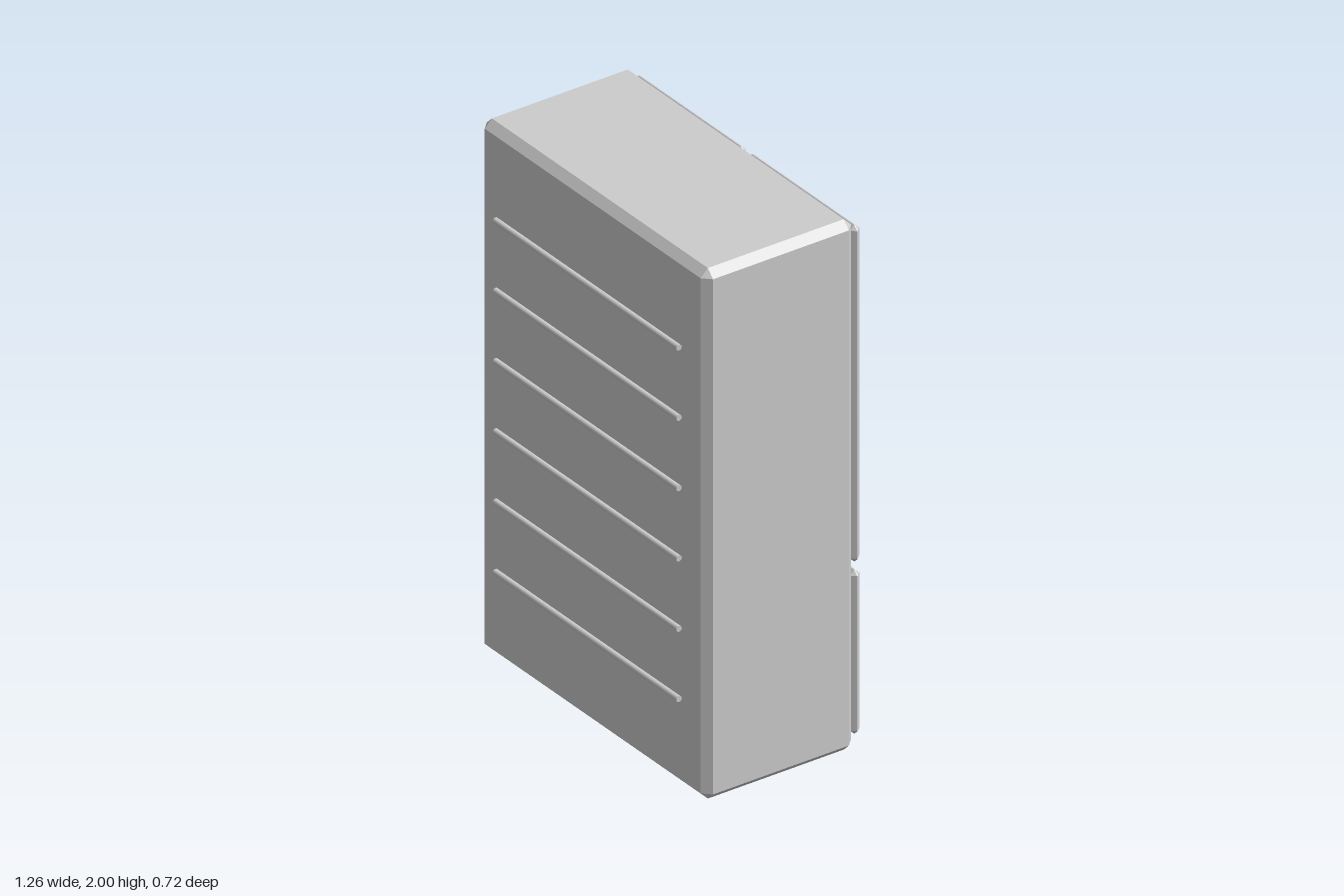
import * as THREE from 'three';
import { ConvexGeometry } from 'three/addons/geometries/ConvexGeometry.js';

const steel = new THREE.MeshStandardMaterial({ color: 0xcccccc });
steel.name = 'steel grey';

// Box with flat chamfers on every edge and corner, given by its limits
function chamferBox(name, [x0, x1], [y0, y1], [z0, z1], c) {
  const half = [(x1 - x0) / 2, (y1 - y0) / 2, (z1 - z0) / 2];
  const points = [];
  for (const sx of [-1, 1]) for (const sy of [-1, 1]) for (const sz of [-1, 1]) {
    for (let axis = 0; axis < 3; axis++) {
      const p = [sx, sy, sz].map((s, i) => s * (half[i] - (i === axis ? 0 : c)));
      points.push(new THREE.Vector3(...p));
    }
  }
  const mesh = new THREE.Mesh(new ConvexGeometry(points), steel);
  mesh.position.set((x0 + x1) / 2, (y0 + y1) / 2, (z0 + z1) / 2);
  mesh.name = name;
  return mesh;
}

// Round bar, upright or lying along x
function bar(name, radius, length, x, y, z, lying) {
  const mesh = new THREE.Mesh(new THREE.CylinderGeometry(radius, radius, length, 20), steel);
  mesh.position.set(x, y, z);
  if (lying) mesh.rotation.z = Math.PI / 2;
  mesh.name = name;
  return mesh;
}

export function createModel() {
  const fridge = new THREE.Group();
  fridge.name = 'refrigerator';

  // Cabinet
  fridge.add(chamferBox('cabinet', [-0.632, 0.632], [0, 2], [-0.28, 0.325], 0.029));

  // Doors and freezer drawer
  const doorZ = [-0.315, -0.277];
  fridge.add(chamferBox('leftDoor', [0.014, 0.618], [0.694, 1.963], doorZ, 0.017));
  fridge.add(chamferBox('rightDoor', [-0.618, -0.014], [0.694, 1.963], doorZ, 0.017));
  fridge.add(chamferBox('freezerDrawer', [-0.618, 0.618], [0.045, 0.663], doorZ, 0.017));

  // Handles
  fridge.add(bar('leftDoorHandle', 0.0145, 0.525, 0.066, 1.253, -0.345, false));
  fridge.add(bar('rightDoorHandle', 0.0145, 0.525, -0.066, 1.253, -0.345, false));
  fridge.add(bar('drawerHandle', 0.0145, 0.77, 0, 0.564, -0.345, true));

  // Water dispenser and its control panel
  fridge.add(chamferBox('dispenser', [-0.443, -0.193], [1.028, 1.332], [-0.329, -0.305], 0.006));
  fridge.add(chamferBox('dispenserPanel', [-0.406, -0.232], [1.243, 1.308], [-0.338, -0.322], 0.002));

  // Condenser coils
  for (let i = 0; i < 6; i++) {
    fridge.add(bar('condenserCoil', 0.011, 1.026, 0, 0.35 + i * 0.265, 0.347, true));
  }
  return fridge;
}
